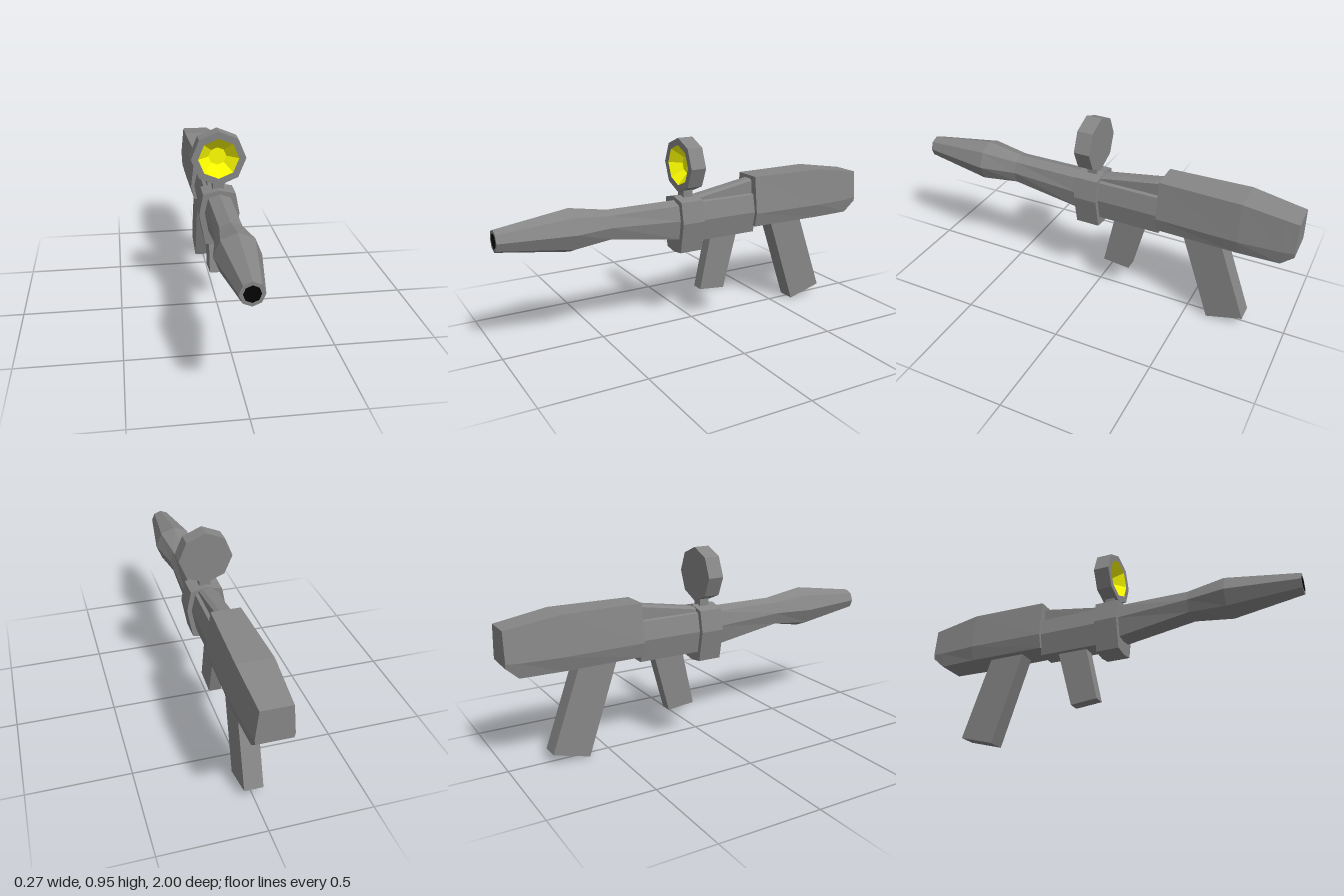
import * as THREE from 'three';

const grey = new THREE.MeshStandardMaterial({ color: 0x868686, flatShading: true });
const yellow = new THREE.MeshStandardMaterial({ color: 0xffff00, flatShading: true });
const black = new THREE.MeshStandardMaterial({ color: 0x040404, flatShading: true });

// Skin a list of rings (counter-clockwise seen from +z), with optional end caps
function loft(rings, capStart = true, capEnd = true) {
  const pos = [];
  const tri = (...pts) => pts.forEach((p) => pos.push(...p));
  const n = rings[0].length;
  for (let r = 0; r < rings.length - 1; r++) {
    const a = rings[r], b = rings[r + 1];
    for (let i = 0; i < n; i++) {
      const j = (i + 1) % n;
      tri(a[i], b[i], a[j]);
      tri(a[j], b[i], b[j]);
    }
  }
  const first = rings[0], last = rings[rings.length - 1];
  for (let i = 1; i < n - 1; i++) {
    if (capStart) tri(first[0], first[i], first[i + 1]);
    if (capEnd) tri(last[0], last[i + 1], last[i]);
  }
  const g = new THREE.BufferGeometry();
  g.setAttribute('position', new THREE.Float32BufferAttribute(pos, 3));
  g.computeVertexNormals();
  return g;
}

// Regular octagon with a corner at the bottom, where the ring starts
function octagon(z, radius, y) {
  return Array.from({ length: 8 }, (_, i) => {
    const a = (i * Math.PI) / 4;
    return [radius * Math.sin(a), y - radius * Math.cos(a), z];
  });
}

// Mirrored ring from its right-hand outline, listed bottom to top;
// points on x = 0 are not repeated
function mirrored(z, half) {
  const left = half.filter(([x]) => x > 0).reverse().map(([x, y]) => [-x, y]);
  return [...half, ...left].map(([x, y]) => [x, y, z]);
}

// Slanted grip from a side outline of [z, y] corners
function grip(corners, halfWidth) {
  const shape = new THREE.Shape(corners.map(([z, y]) => new THREE.Vector2(-z, y)));
  const g = new THREE.ExtrudeGeometry(shape, { depth: halfWidth * 2, bevelEnabled: false });
  g.translate(0, 0, -halfWidth);
  g.rotateY(Math.PI / 2);
  return g;
}

export function createModel() {
  const model = new THREE.Group();
  model.name = 'launcher';
  const add = (name, geometry, material = grey) => {
    const mesh = new THREE.Mesh(geometry, material);
    mesh.name = name;
    model.add(mesh);
  };

  // Barrel, swelling behind the muzzle and deepening toward the collar
  const axis = 0.57;
  add('barrel', loft([
    octagon(1, 0.037, axis),
    octagon(1, 0.053, axis),
    octagon(0.65, 0.105, axis),
    mirrored(0.46, [[0, 0.499], [0.055, 0.511], [0.072, 0.57], [0.052, 0.624], [0, 0.642]]),
    mirrored(0.09, [[0, 0.445], [0.055, 0.452], [0.072, 0.55], [0.055, 0.625], [0, 0.643]]),
  ], false, true));
  add('bore', loft([octagon(0.85, 0.037, axis), octagon(1, 0.037, axis)], true, false), black);

  // Collar around the middle
  const collar = [[0, 0.376], [0.07, 0.386], [0.1, 0.54], [0.08, 0.645], [0, 0.663]];
  add('collar', loft([mirrored(0.1, collar), mirrored(-0.02, collar)]));

  // Receiver and the narrow rising ridge on top of it
  const receiver = [[0.055, 0.431], [0.077, 0.54], [0.058, 0.63], [0.02, 0.64]];
  add('receiver', loft([mirrored(-0.01, receiver), mirrored(-0.34, receiver)]));
  add('ridge', loft([
    mirrored(-0.01, [[0.042, 0.6], [0.04, 0.645], [0.02, 0.655]]),
    mirrored(-0.34, [[0.042, 0.6], [0.04, 0.7], [0.02, 0.71]]),
  ]));

  // Stock: upper corners, side crease and chamfered lower tail
  const stockRing = (z, top, topX, sideX, bottom, bottomX, crease = 0.535) =>
    mirrored(z, [[bottomX, bottom], [sideX, crease], [topX, top]]);
  add('stock', loft([
    stockRing(-0.335, 0.725, 0.072, 0.095, 0.463, 0.078),
    stockRing(-0.74, 0.725, 0.085, 0.105, 0.463, 0.085),
    stockRing(-0.94, 0.694, 0.075, 0.091, 0.463, 0.077),
    stockRing(-1, 0.685, 0.072, 0.086, 0.518, 0.082, 0.54),
  ]));

  // Grips
  add('foreGrip', grip([[-0.1, 0.46], [-0.035, 0.157], [-0.175, 0.143], [-0.258, 0.46]], 0.031));
  add('rearGrip', grip([[-0.45, 0.49], [-0.615, 0], [-0.797, 0.05], [-0.64, 0.49]], 0.046));

  // Round sight on a short stem, with a yellow dish facing forward
  const sightY = 0.815;
  add('sightHousing', loft([
    octagon(0.075, 0.1, sightY),
    octagon(0.075, 0.135, sightY),
    octagon(-0.005, 0.135, sightY),
  ], false, true));
  add('sightDish', loft([octagon(0.025, 0.044, sightY), octagon(0.075, 0.1, sightY)], true, false), yellow);
  const stem = new THREE.BoxGeometry(0.055, 0.07, 0.05);
  stem.translate(0, 0.675, 0.035);
  add('sightStem', stem);

  return model;
}
